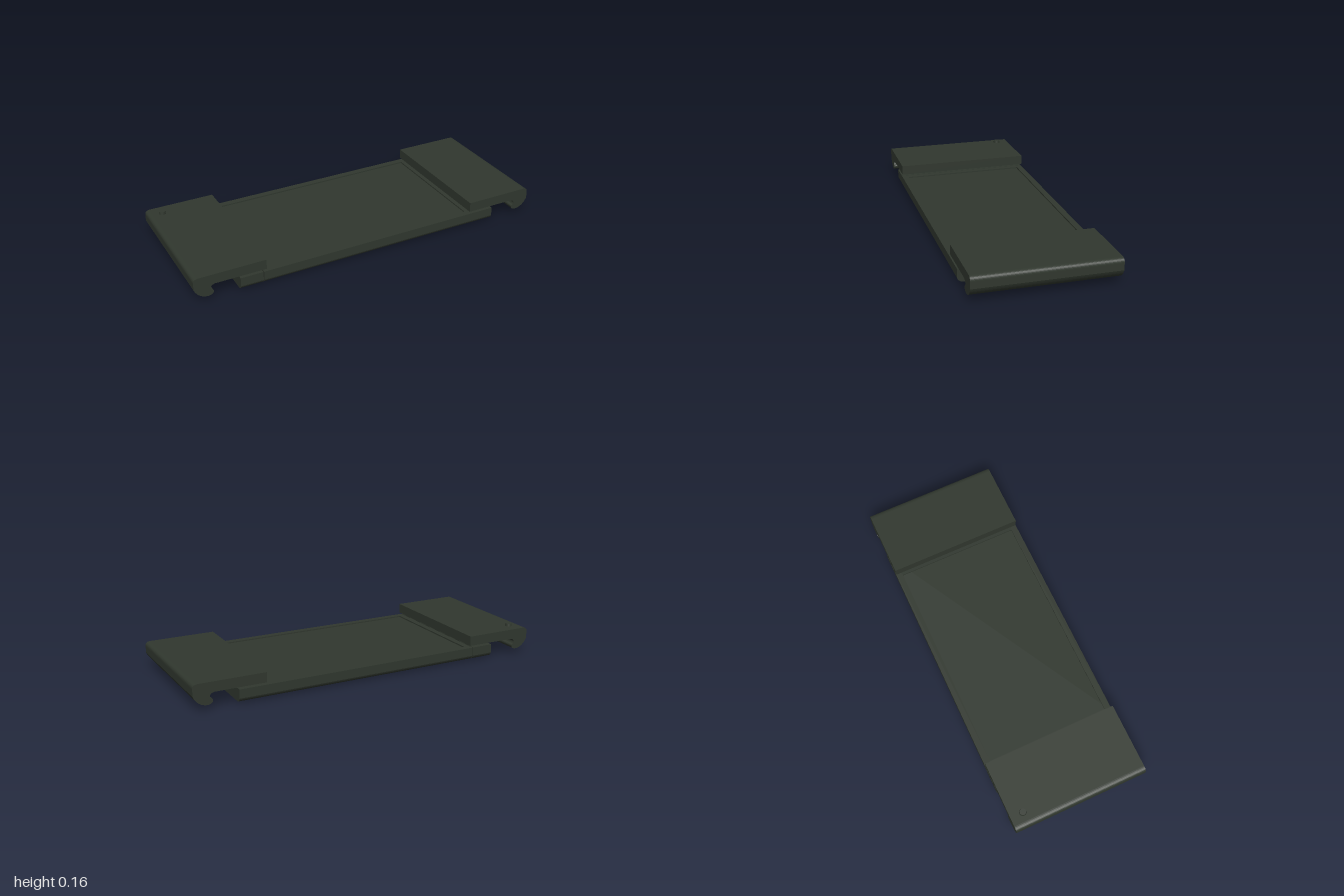
import * as THREE from 'three';

export function createModel() {
  const model = new THREE.Group();
  const olive = new THREE.MeshStandardMaterial({ color: 0x30372e });
  olive.name = 'dark olive';

  const add = (name, geometry, x = 0, y = 0, z = 0, parent = model) => {
    const mesh = new THREE.Mesh(geometry, olive);
    mesh.name = name;
    mesh.position.set(x, y, z);
    parent.add(mesh);
    return mesh;
  };
  const extrude = (shape, depth) =>
    new THREE.ExtrudeGeometry(shape, { depth, bevelEnabled: false, curveSegments: 8 });

  // Slab section across z with rounded lower edges, swept along x
  const slab = (x0, x1, top) => {
    const s = new THREE.Shape();
    s.moveTo(-0.378, top);
    s.lineTo(-0.378, 0.03);
    s.quadraticCurveTo(-0.37, 0.006, -0.34, 0.006);
    s.lineTo(0.34, 0.006);
    s.quadraticCurveTo(0.37, 0.006, 0.378, 0.03);
    s.lineTo(0.378, top);
    s.closePath();
    return extrude(s, x1 - x0).rotateY(Math.PI / 2).translate(x0, 0, 0);
  };

  // Device body, in two parts with a narrow seam between them
  const device = new THREE.Group();
  device.name = 'device';
  model.add(device);
  add('mainBody', slab(-0.628, 0.76, 0.071), 0, 0, 0, device);
  add('endCap', slab(-0.755, -0.632, 0.078), 0, 0, 0, device);

  // Raised rim around the recessed screen
  const rect = (path, x0, x1, z) => {
    path.moveTo(x0, -z);
    path.lineTo(x1, -z);
    path.lineTo(x1, z);
    path.lineTo(x0, z);
    path.closePath();
    return path;
  };
  const rim = rect(new THREE.Shape(), -0.628, 0.76, 0.378);
  rim.holes.push(rect(new THREE.Path(), -0.595, 0.6, 0.343));
  add('screenRim', extrude(rim, 0.007).rotateX(-Math.PI / 2), 0, 0.071, 0, device);

  // Camera on the underside
  add('cameraRing', new THREE.CylinderGeometry(0.045, 0.045, 0.004, 32), -0.7, 0.005, -0.225, device);
  add('cameraLens', new THREE.CylinderGeometry(0.018, 0.018, 0.004, 24), -0.7, 0.002, -0.225, device);

  // Grip section: flat plate, rounded outer edge and hooked lip
  const grip = (side) => {
    const s = new THREE.Shape();
    const p = (x) => x * side;
    s.moveTo(p(0.612), 0.09);
    s.lineTo(p(0.612), 0.144);
    s.lineTo(p(0.972), 0.144);
    s.quadraticCurveTo(p(1), 0.144, p(1), 0.12);
    s.lineTo(p(1), 0.082);
    s.quadraticCurveTo(p(0.985), 0.045, p(0.95), 0.032);
    s.quadraticCurveTo(p(0.92), 0.022, p(0.902), 0.036);
    s.quadraticCurveTo(p(0.89), 0.054, p(0.908), 0.06);
    s.quadraticCurveTo(p(0.922), 0.082, p(0.89), 0.09);
    s.closePath();
    return extrude(s, 0.754).translate(0, 0, -0.378);
  };
  add('leftGrip', grip(1));
  add('rightGrip', grip(-1));

  // Button on the right grip
  add('button', new THREE.CylinderGeometry(0.017, 0.019, 0.016, 20), -0.925, 0.151, -0.307);

  return model;
}
